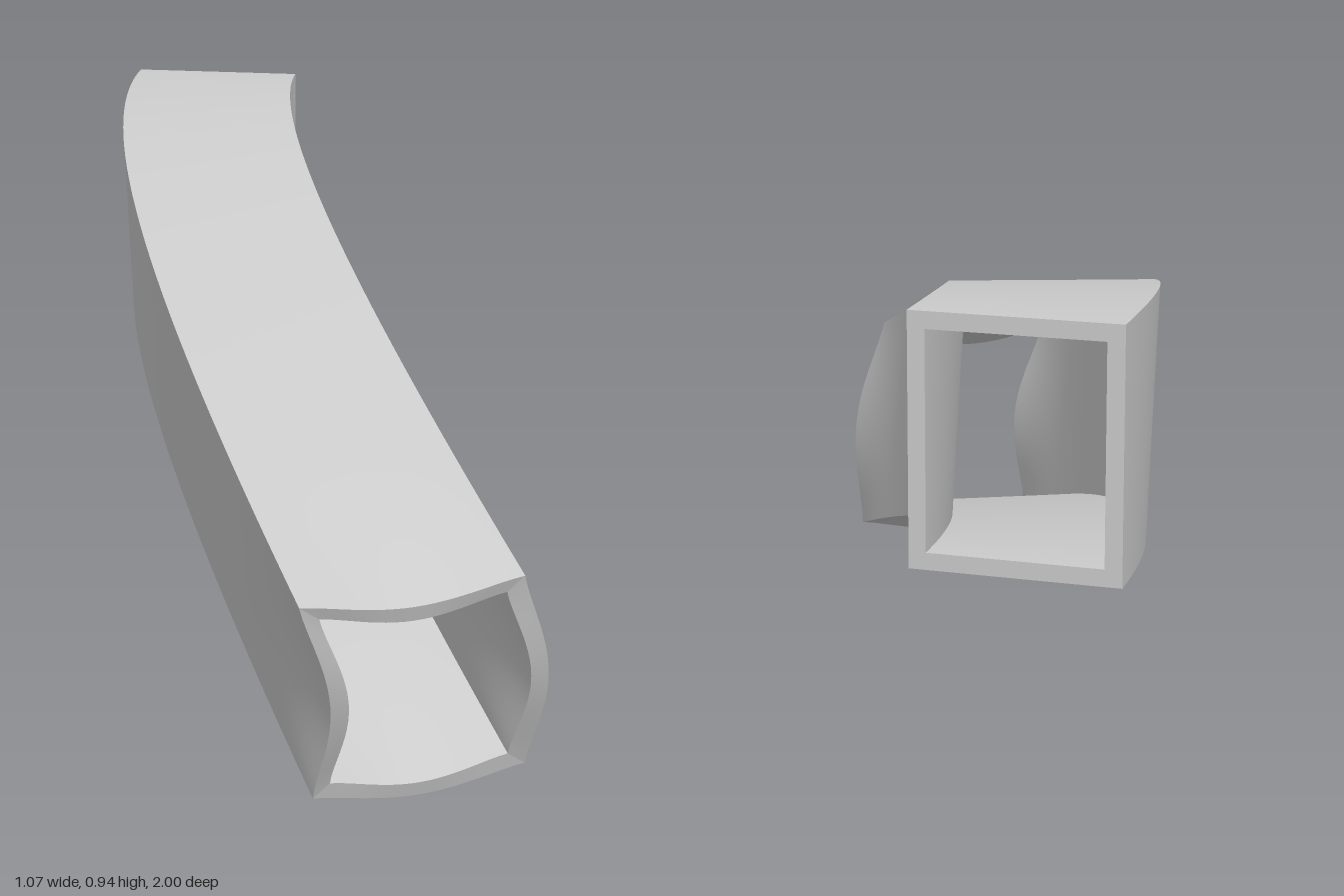
import * as THREE from 'three';

// Centre line of the duct: level at the back, sloping down and to its left at the front
const path = new THREE.QuadraticBezierCurve3(
  new THREE.Vector3(-0.3525, 0.72, -1),
  new THREE.Vector3(-0.3525, 0.72, -0.42),
  new THREE.Vector3(0.308, 0.247, 0.82)
);
const HALF_W = 0.1825, HALF_H = 0.22, WALL = 0.03;
const CORNERS = [[-1, -1], [1, -1], [1, 1], [-1, 1]]; // counter-clockwise from the front
const FLARE_START = 0.86;

// Point on wall `side`; u runs along the wall, t along the path, inset goes inwards
function ductPoint(side, u, t, inset) {
  const a = CORNERS[side], b = CORNERS[(side + 1) % 4];
  const dx = THREE.MathUtils.lerp(a[0], b[0], u) * (HALF_W - inset);
  const dy = THREE.MathUtils.lerp(a[1], b[1], u) * (HALF_H - inset);
  const p = path.getPoint(t), d = path.getTangent(t);
  // Section stays square to the path by shearing it in z
  p.add(new THREE.Vector3(dx, dy, -(d.x * dx + d.y * dy) / d.z));
  // Walls bow sideways and down near the front mouth, corners stay put
  const fade = Math.max(0, (t - FLARE_START) / (1 - FLARE_START)) ** 2;
  const bow = fade * Math.max(0, Math.sin(Math.PI * u)) ** 1.3;
  if (side % 2) p.x += 0.042 * bow;
  else p.y -= 0.028 * bow;
  return p;
}

// Bends a plane grid into place with a point function of (u, v)
function surface(name, nu, nv, fn, material) {
  const geometry = new THREE.PlaneGeometry(1, 1, nu, nv);
  const pos = geometry.attributes.position;
  for (let i = 0; i < pos.count; i++) {
    const p = fn(pos.getX(i) + 0.5, pos.getY(i) + 0.5);
    pos.setXYZ(i, p.x, p.y, p.z);
  }
  geometry.computeVertexNormals();
  const mesh = new THREE.Mesh(geometry, material);
  mesh.name = name;
  return mesh;
}

export function createModel() {
  const model = new THREE.Group();
  model.name = 'curvedDuct';
  const material = new THREE.MeshStandardMaterial({ color: 0xcccccc });
  const names = ['bottom', 'left', 'top', 'right'];
  const NU = 20, NT = 70;

  names.forEach((name, k) => {
    const wall = new THREE.Group();
    wall.name = name + 'Wall';
    wall.add(
      surface(name + 'Outside', NU, NT, (u, v) => ductPoint(k, u, v, 0), material),
      surface(name + 'Inside', NU, NT, (u, v) => ductPoint(k, 1 - u, v, WALL), material),
      surface(name + 'FrontRim', NU, 1, (u, v) => ductPoint(k, u, 1, v * WALL), material),
      surface(name + 'BackRim', NU, 1, (u, v) => ductPoint(k, 1 - u, 0, v * WALL), material)
    );
    model.add(wall);
  });
  return model;
}
